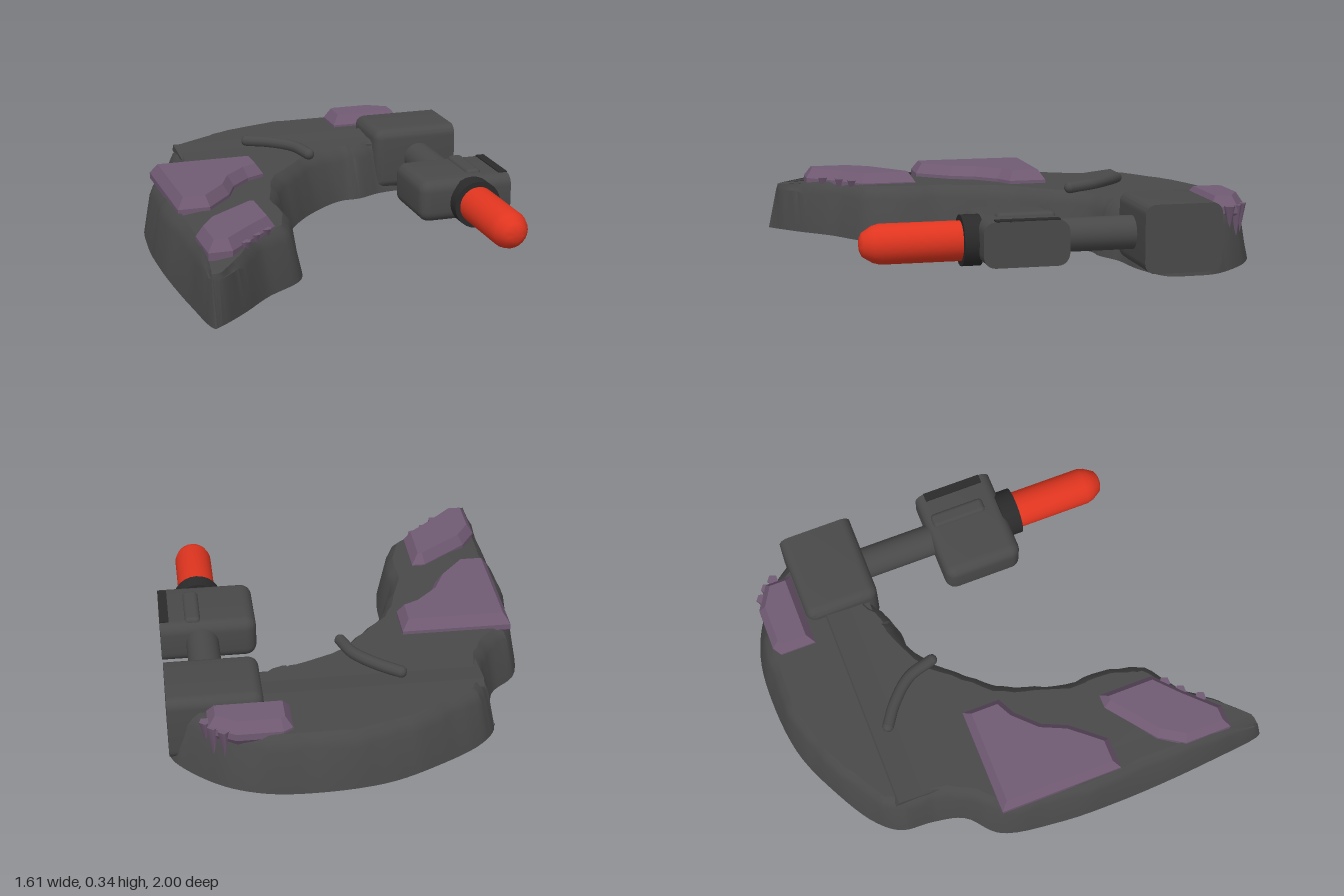
import * as THREE from 'three';
import { toCreasedNormals, mergeVertices } from 'three/addons/utils/BufferGeometryUtils.js';
import { RoundedBoxGeometry } from 'three/addons/geometries/RoundedBoxGeometry.js';

const mat = (name, color) => new THREE.MeshStandardMaterial({ name, color });

export function createModel() {
  const group = new THREE.Group();
  const stone = mat('dark grey', 0x494949);
  const black = mat('near black', 0x2a2a2a);
  const purple = mat('dull purple', 0x705a73);
  const red = mat('red', 0xe0351f);

  const add = (name, geometry, material, x = 0, y = 0, z = 0) => {
    const mesh = new THREE.Mesh(geometry, material);
    mesh.name = name;
    mesh.position.set(x, y, z);
    group.add(mesh);
  };

  // Crescent outline, [x, z], clockwise seen from above
  const outline = [
    [-0.75, 1.0], [-0.785, 0.75], [-0.81, 0.3], [-0.80, 0.0], [-0.75, -0.26], [-0.63, -0.38],
    [-0.595, -0.52], [-0.58, -0.66], [-0.5, -0.76], [-0.3, -0.88], [-0.08, -0.97], [0.2, -1.0],
    [0.42, -0.98], [0.6, -0.9], [0.77, -0.73], [0.8, -0.65], [0.79, -0.5], [0.62, -0.42],
    [0.42, -0.39], [0.3, -0.34], [0.2, -0.33], [0.0, -0.18], [-0.14, 0.0], [-0.22, 0.2],
    [-0.235, 0.42], [-0.28, 0.6], [-0.46, 0.74], [-0.6, 0.88], [-0.73, 0.99],
  ];
  const curve = new THREE.CatmullRomCurve3(
    outline.map(([x, z]) => new THREE.Vector3(x, 0, z)), true, 'centripetal');

  // Rocky body: rings stepping inward and upward, lower towards the tip
  function bodyGeometry(n = 150) {
    const rings = [[0, 0.03], [0.038, 0.215], [0.055, 0.25], [0.08, 0.275]];
    const pos = [], index = [];
    rings.forEach(([inset, height], r) => {
      for (let i = 0; i < n; i++) {
        const p = curve.getPoint(i / n), t = curve.getTangent(i / n);
        const ripple = r ? 0.007 * Math.sin(i * 0.9) + 0.004 * Math.sin(i * 2.3) : 0;
        const d = (inset + ripple) * Math.min(1, (1.05 - p.z) / 0.4);
        const y = height - (r > 1 ? 0.035 * THREE.MathUtils.smoothstep(p.z, 0.75, 1) : 0);
        const x = THREE.MathUtils.clamp(p.x - t.z * d, -0.81, 0.8);
        const z = THREE.MathUtils.clamp(p.z + t.x * d, -1, 1 - (y - 0.03) * 0.22);
        pos.push(x, y + (r === 1 ? ripple : 0), z);
      }
    });
    for (let r = 0; r < rings.length - 1; r++) {
      for (let i = 0; i < n; i++) {
        const a = r * n + i, b = r * n + (i + 1) % n;
        index.push(a, a + n, b + n, a, b + n, b);
      }
    }
    // Bottom and top share the triangulation of the base outline
    const base = Array.from({ length: n }, (_, i) => new THREE.Vector2(pos[i * 3], pos[i * 3 + 2]));
    const top = (rings.length - 1) * n;
    for (const [i, j, k] of THREE.ShapeUtils.triangulateShape(base, [])) {
      const facesUp = base[j].clone().sub(base[i]).cross(base[k].clone().sub(base[i])) < 0;
      const [a, b, c] = facesUp ? [i, j, k] : [i, k, j];
      index.push(a, c, b, top + a, top + b, top + c);
    }
    const g = new THREE.BufferGeometry();
    g.setAttribute('position', new THREE.Float32BufferAttribute(pos, 3));
    g.setIndex(index);
    return toCreasedNormals(g, 0.6);
  }
  add('rockBody', bodyGeometry(), stone);

  // Low ridge across the top, steep at the back and shallow at the front
  const ridge = new THREE.Shape([[0.655, 0.255], [0.64, 0.287], [0.44, 0.265], [0.44, 0.255]]
    .map(p => new THREE.Vector2(...p)));
  add('topRidge', new THREE.ExtrudeGeometry(ridge, { depth: 0.95, bevelEnabled: false })
    .rotateY(Math.PI / 2), stone, -0.53);

  // Bevelled slab from an [x, z] outline
  function slab(points, y0, y1) {
    const shape = new THREE.Shape(points.map(([x, z]) => new THREE.Vector2(x, -z)));
    const g = new THREE.ExtrudeGeometry(shape, {
      depth: y1 - y0 - 0.09, bevelEnabled: true, bevelSegments: 1,
      bevelSize: 0.03, bevelThickness: 0.045, bevelOffset: -0.03,
    });
    return g.rotateX(-Math.PI / 2).translate(0, y0 + 0.045, 0);
  }

  // Purple plates
  add('middlePlate', slab([[-0.73, -0.24], [-0.25, -0.24], [-0.25, -0.07], [-0.33, -0.03],
    [-0.42, 0.06], [-0.47, 0.17], [-0.59, 0.31], [-0.73, 0.31]], 0.22, 0.335), purple);
  add('frontPlate', slab([[-0.73, 0.83], [-0.73, 0.62], [-0.66, 0.51], [-0.45, 0.35],
    [-0.39, 0.35], [-0.39, 0.6], [-0.5, 0.7], [-0.63, 0.83]], 0.2, 0.325), purple);
  add('backPlate', slab([[0.3, -0.73], [0.3, -0.89], [0.34, -0.915], [0.53, -0.915],
    [0.64, -0.85], [0.64, -0.73]], 0.21, 0.33), purple);

  // Jagged drips hanging from the plate edges
  const drips = [[0.62, -0.85, 0.12], [0.58, -0.885, 0.16], [0.65, -0.81, 0.18],
    [-0.5, 0.69, 0.2], [-0.56, 0.76, 0.2], [-0.44, 0.64, 0.22]];
  for (const [x, z, y] of drips) {
    const h = 0.29 - y;
    add('plateDrip', new THREE.ConeGeometry(0.026, h, 5).rotateX(Math.PI), purple, x, y + h / 2, z);
  }
  add('bottomSpike', new THREE.ConeGeometry(0.018, 0.05, 5).rotateX(Math.PI), stone, -0.57, 0.025, -0.64);

  // Curved handle on top
  const handle = new THREE.CatmullRomCurve3([[-0.19, 0.298, -0.565], [-0.1, 0.302, -0.5],
    [-0.01, 0.302, -0.4], [0.03, 0.294, -0.28]].map(p => new THREE.Vector3(...p)));
  add('handle', new THREE.TubeGeometry(handle, 20, 0.026, 10), stone);
  for (const t of [0, 1]) {
    const p = handle.getPoint(t);
    add('handleEnd', new THREE.SphereGeometry(0.026, 10, 8), stone, p.x, p.y, p.z);
  }

  // Rounded blocks, sliced flat at x = 0.8
  function slicedBlock(x0, y0, y1, z0, z1, radius) {
    const g = new RoundedBoxGeometry(1 - x0, y1 - y0, z1 - z0, 4, radius)
      .translate((1 + x0) / 2, (y0 + y1) / 2, (z0 + z1) / 2);
    const p = g.attributes.position;
    for (let i = 0; i < p.count; i++) p.setX(i, Math.min(p.getX(i), 0.8));
    g.deleteAttribute('normal');
    g.deleteAttribute('uv');
    return toCreasedNormals(mergeVertices(g), 0.6);
  }
  add('mountBlock', slicedBlock(0.4, 0.045, 0.335, -0.725, -0.39, 0.045), stone);
  add('launcherBlock', slicedBlock(0.375, 0.1, 0.29, -0.07, 0.29, 0.05), stone);
  add('launcherBar', new RoundedBoxGeometry(0.07, 0.05, 0.25, 3, 0.02), stone, 0.655, 0.28, 0.085);
  add('launcherStrip', new THREE.BoxGeometry(0.04, 0.008, 0.27), black, 0.78, 0.291, 0.105);

  // Rod, collar and red missile along z
  const rod = (r, z0, z1) =>
    new THREE.CylinderGeometry(r, r, z1 - z0, 24).rotateX(Math.PI / 2).translate(0, 0, (z0 + z1) / 2);
  add('connectingRod', rod(0.072, -0.42, -0.04), stone, 0.617, 0.192, 0);
  add('collar', rod(0.107, 0.27, 0.35), black, 0.617, 0.188, 0);
  const profile = [[0, 0.33], [0.084, 0.33], [0.084, 0.685], [0.076, 0.715], [0.05, 0.757],
    [0.03, 0.767], [0, 0.772]].map(([r, z]) => new THREE.Vector2(r, z));
  add('missile', toCreasedNormals(new THREE.LatheGeometry(profile, 24).rotateX(Math.PI / 2), 0.6),
    red, 0.617, 0.187, 0);

  return group;
}
